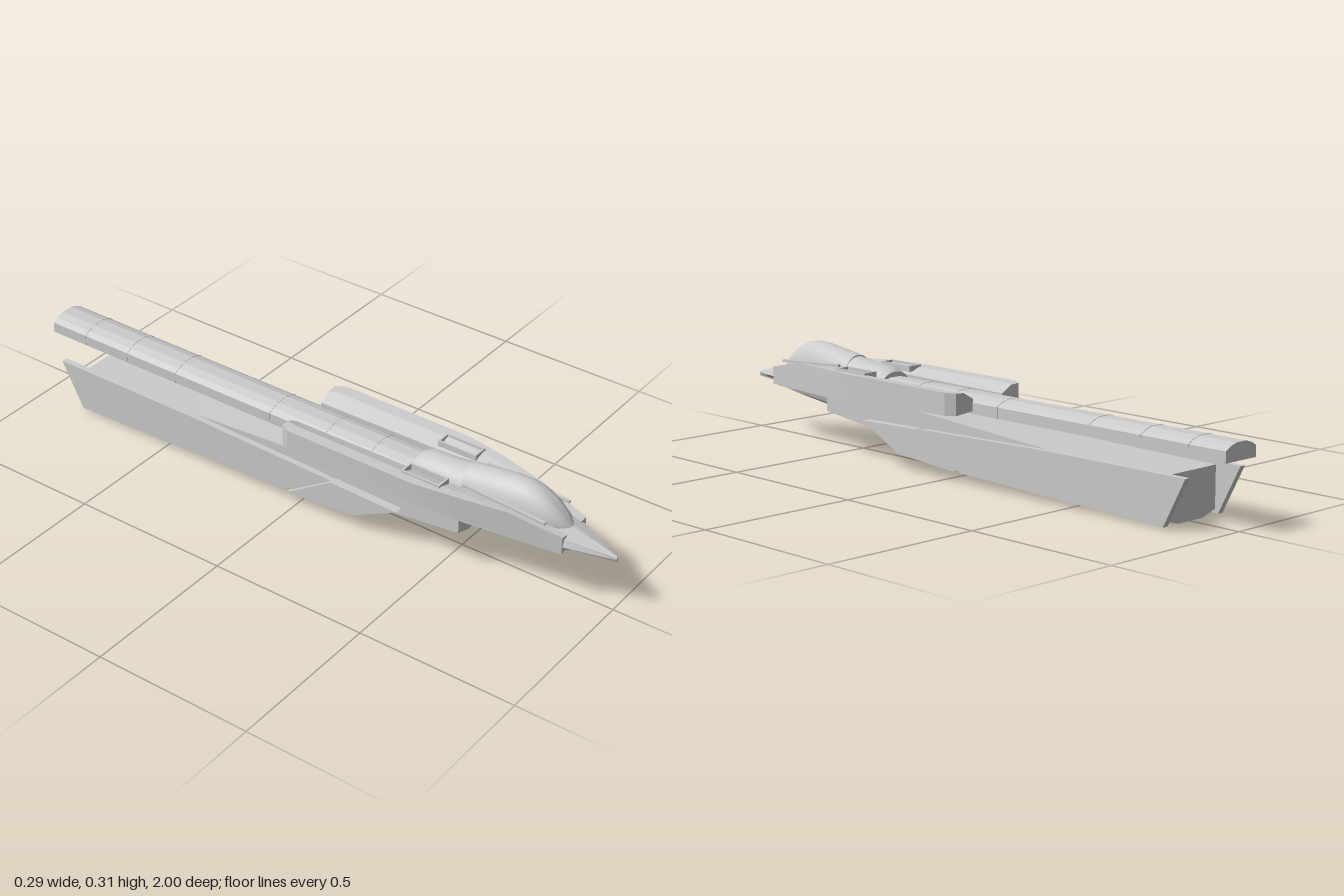
import * as THREE from 'three';
import { toCreasedNormals } from 'three/addons/utils/BufferGeometryUtils.js';

const material = new THREE.MeshStandardMaterial({ color: 0xcccccc });

// Closed loft through equal-length rings, ordered back to front;
// each ring runs counter-clockwise as seen from +z.
function loft(sections, crease = 0.35) {
  const pos = [];
  const pt = (s, j) => { const p = s.ring[j % s.ring.length]; return [p[0], p[1], s.z + (p[2] || 0)]; };
  const tri = (a, b, c) => pos.push(...a, ...b, ...c);
  const n = sections[0].ring.length;
  for (let i = 0; i < sections.length - 1; i++) {
    const s = sections[i], t = sections[i + 1];
    for (let j = 0; j < n; j++) {
      tri(pt(s, j), pt(s, j + 1), pt(t, j + 1));
      tri(pt(s, j), pt(t, j + 1), pt(t, j));
    }
  }
  const first = sections[0], last = sections[sections.length - 1];
  for (let j = 1; j < n - 1; j++) {
    tri(pt(first, 0), pt(first, j + 1), pt(first, j));
    tri(pt(last, 0), pt(last, j), pt(last, j + 1));
  }
  const geo = new THREE.BufferGeometry();
  geo.setAttribute('position', new THREE.Float32BufferAttribute(pos, 3));
  return toCreasedNormals(geo, crease);
}

// Mirrors the +x half of a ring (bottom to top) to a full ring
const sym = (half) => [...half, ...half.map(([x, y]) => [-x, y]).reverse()];
const flip = (ring) => ring.map(([x, y]) => [-x, y]).reverse();

export function createModel() {
  const model = new THREE.Group();
  const add = (name, geo) => {
    const mesh = new THREE.Mesh(geo, material);
    mesh.name = name;
    model.add(mesh);
    return mesh;
  };
  const box = (name, w, h, d, x, y, z) => {
    const mesh = add(name, new THREE.BoxGeometry(w, h, d));
    mesh.position.set(x, y, z);
    return mesh;
  };

  // Long boom with a faceted rounded top
  const boomRing = (g = 0) => sym([[0.062 + g, 0.195], [0.062 + g, 0.228 + g], [0.045 + g, 0.238 + g], [0.02, 0.246 + g]]);
  add('boom', loft([{ z: -1, ring: boomRing() }, { z: 0.5, ring: boomRing() }], 0.2));
  for (const z of [-0.87, -0.7, -0.51, -0.15, 0.05, 0.21])
    add('boomSeam', loft([{ z: z - 0.003, ring: boomRing(0.001) }, { z: z + 0.003, ring: boomRing(0.001) }], 0.2));

  // Nose wedge: z, half width, bottom, chine, top
  const nose = [
    [0.55, 0.07, 0.17, 0.2, 0.255], [0.8, 0.07, 0.165, 0.195, 0.242],
    [0.86, 0.06, 0.163, 0.19, 0.224], [1, 0.004, 0.167, 0.176, 0.184],
  ];
  add('nose', loft(nose.map(([z, w, b, c, t]) => (
    { z, ring: sym([[w * 0.3, b], [w, c], [w * 0.85, c + (t - c) * 0.6], [w * 0.1, t]]) })), 0.2));

  // Neck joining the forward body to the lower hull
  const neck = [[0.35, 0.104, 0.174], [0.56, 0.104, 0.17], [0.84, 0.06, 0.163]];
  add('neck', loft(neck.map(([z, w, b]) => ({ z, ring: sym([[w, b], [w, 0.205]]) }))));

  // Side shoulders: z, outer half width, bottom, top, inner top
  const shoulder = [
    [-0.05, 0.128, 0.197, 0.263, 0.24], [-0.02, 0.145, 0.196, 0.264, 0.24],
    [0.42, 0.145, 0.196, 0.264, 0.245], [0.55, 0.124, 0.19, 0.262, 0.25],
    [0.7, 0.09, 0.178, 0.255, 0.25], [0.86, 0.062, 0.166, 0.222, 0.22],
  ];
  for (const side of [1, -1]) {
    add(side > 0 ? 'leftShoulder' : 'rightShoulder', loft(shoulder.map(([z, w, b, t, ti]) => {
      const inner = Math.min(0.06, w * 0.6);
      const ring = [[inner, b + 0.006], [w, b], [w, t], [inner + (w - inner) * 0.55, t - 0.002], [inner, ti]];
      return { z, ring: side > 0 ? ring : flip(ring) };
    }), 0.2));

    // Vent frame on the shoulder
    for (const x of [0.07, 0.113]) box('ventRail', 0.006, 0.018, 0.13, side * x, 0.26, 0.425);
    for (const z of [0.363, 0.487]) box('ventEnd', 0.046, 0.018, 0.006, side * 0.0915, 0.26, z);

    // Canopy sill
    const sill = box('canopySill', 0.01, 0.008, 0.27, side * 0.064, 0.256, 0.67);
    sill.rotation.x = 0.06;
  }

  // Canopy and the fairing behind it: z, half width, top
  const dome = (rows, base) => loft(rows.map(([z, w, t]) => ({
    z,
    ring: Array.from({ length: 17 }, (_, i) => {
      const a = (i / 16) * Math.PI;
      return [w * Math.cos(a), base + (t - base) * Math.sin(a) ** 0.85];
    }),
  })), 0.6);
  add('canopy', dome([
    [0.52, 0.058, 0.293], [0.6, 0.061, 0.306], [0.66, 0.062, 0.314], [0.71, 0.061, 0.316],
    [0.75, 0.057, 0.308], [0.79, 0.05, 0.288], [0.83, 0.035, 0.255], [0.855, 0.012, 0.226],
  ], 0.215));
  add('canopyFairing', dome([[0.35, 0.056, 0.262], [0.38, 0.058, 0.276], [0.46, 0.059, 0.28], [0.525, 0.06, 0.289]], 0.215));

  // Rounded keel under the nose
  const keel = [[0.5, 0.06, 0.113], [0.58, 0.06, 0.12], [0.75, 0.053, 0.138], [0.84, 0.038, 0.148], [0.87, 0.015, 0.155]];
  add('keel', loft(keel.map(([z, w, b]) => (
    { z, ring: sym([[w * 0.45, b], [w * 0.85, b + (0.168 - b) * 0.35], [w, 0.168], [w * 0.9, 0.18]]) }))));

  // Lower hull: z, bottom, top
  const hull = [[-0.83, 0.002, 0.142], [-0.4, 0.032, 0.147], [0.22, 0.072, 0.188], [0.35, 0.087, 0.198], [0.55, 0.11, 0.198]];
  add('lowerHull', loft(hull.map(([z, b, t]) => (
    { z, ring: sym([[0.05, b], [0.103, b + 0.016], [0.103, t]]) })), 0.1));

  // Side fins: outlines in (z, y), extruded across x
  const fin = (name, outline, x, thickness) => {
    const geo = new THREE.ExtrudeGeometry(
      new THREE.Shape(outline.map(([z, y]) => new THREE.Vector2(-z, y))), { depth: thickness, bevelEnabled: false });
    geo.rotateY(Math.PI / 2);
    geo.translate(x, 0, 0);
    add(name, geo);
  };
  const frontFin = [[0.355, 0.128], [0.2, 0.05], [-0.035, 0.032], [0.125, 0.134]];
  const rearFin = [[0.1, 0.135], [-0.06, 0.03], [-0.84, 0.006], [-0.915, 0.15], [-0.4, 0.148]];
  const finRoot = [[0.3, 0.124], [0.19, 0.056], [-0.1, 0.034], [-0.1, 0.138]];
  for (const side of [1, -1]) {
    const put = (name, outline, x, t) => fin(name, outline, side > 0 ? x : -x - t, t);
    put('frontFin', frontFin, 0.102, 0.028);
    put('rearFin', rearFin, 0.104, 0.019);
    put('finRoot', finRoot, 0.1, 0.018);
  }
  return model;
}
